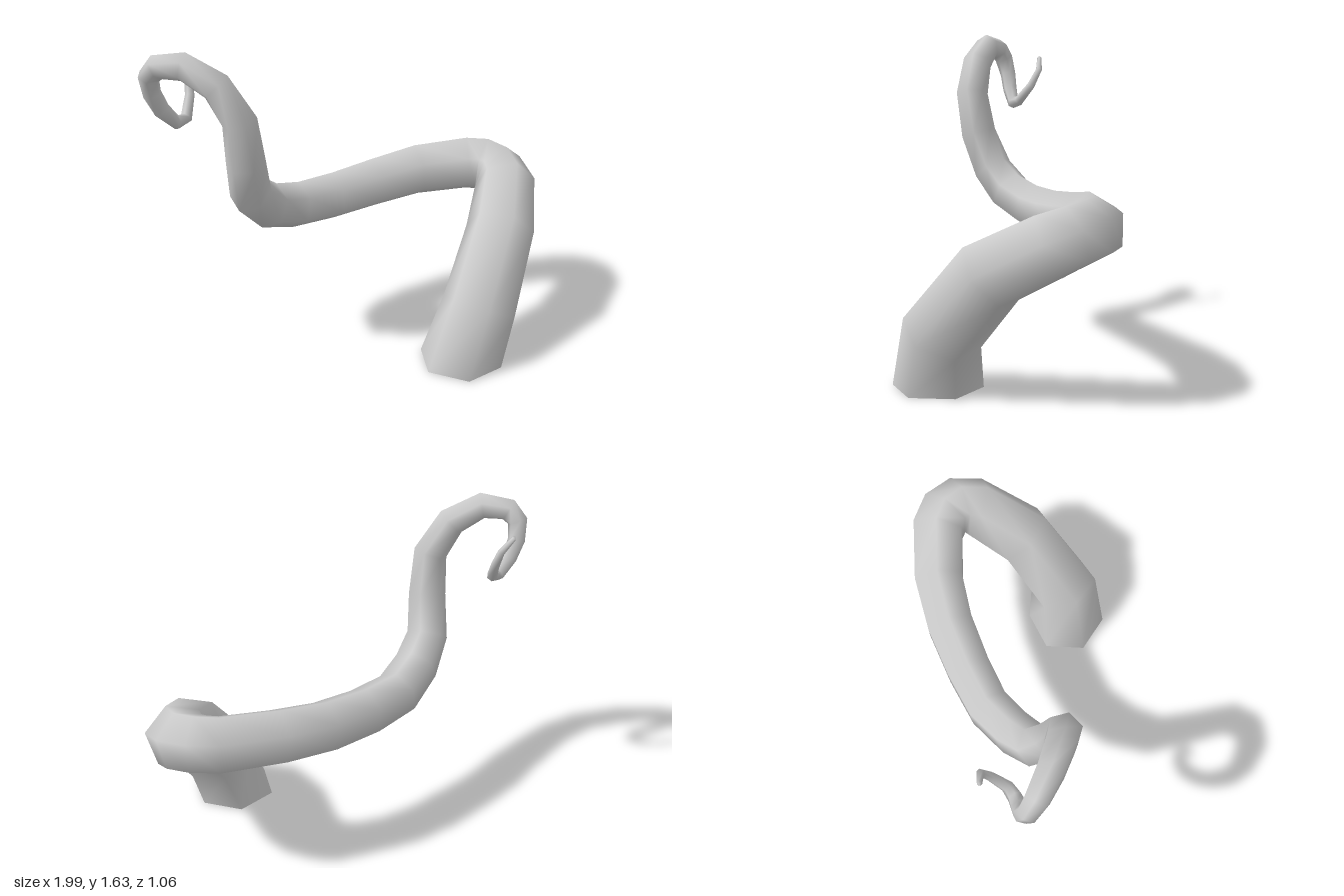
import * as THREE from 'three';

// Centre line from base to tip: x, y, z, radius
const RINGS = [
  [0.52, 0, 0.315, 0.215], [0.61, 0.28, 0.28, 0.19], [0.76, 0.59, 0.04, 0.175],
  [0.84, 0.73, -0.22, 0.16], [0.825, 0.765, -0.315, 0.15], [0.765, 0.78, -0.375, 0.148],
  [0.67, 0.78, -0.405, 0.146], [0.39, 0.765, -0.38, 0.14], [0.15, 0.735, -0.305, 0.133],
  [-0.08, 0.718, -0.195, 0.126], [-0.28, 0.727, -0.08, 0.12], [-0.42, 0.79, 0.055, 0.115],
  [-0.51, 0.905, 0.16, 0.105], [-0.527, 1.1, 0.24, 0.095], [-0.548, 1.315, 0.277, 0.086],
  [-0.645, 1.48, 0.26, 0.078], [-0.79, 1.567, 0.22, 0.069], [-0.91, 1.553, 0.17, 0.059],
  [-0.952, 1.5, 0.14, 0.051], [-0.943, 1.41, 0.115, 0.044], [-0.905, 1.323, 0.1, 0.04],
  [-0.84, 1.25, 0.075, 0.034], [-0.797, 1.263, 0.04, 0.029], [-0.778, 1.35, -0.03, 0.023],
  [-0.785, 1.44, -0.075, 0.018], [-0.845, 1.505, -0.073, 0.012],
];
const SIDES = 6;

// Sweeps a polygon along the rings, carrying its frame without twist
function sweep(rings) {
  const centres = rings.map(([x, y, z]) => new THREE.Vector3(x, y, z));
  const last = rings.length - 1;
  const positions = [], index = [];
  const tangent = new THREE.Vector3(0, 1, 0);
  const u = new THREE.Vector3(0, 0, 1);
  const turn = new THREE.Quaternion();
  centres.forEach((c, i) => {
    if (i > 0) {
      const next = c.clone().sub(centres[i - 1]).normalize();
      if (i < last) next.add(centres[i + 1].clone().sub(c).normalize()).normalize();
      u.applyQuaternion(turn.setFromUnitVectors(tangent, next));
      tangent.copy(next);
    }
    const v = tangent.clone().cross(u);
    for (let j = 0; j < SIDES; j++) {
      const a = (j / SIDES) * Math.PI * 2;
      const p = c.clone()
        .addScaledVector(u, Math.cos(a) * rings[i][3])
        .addScaledVector(v, Math.sin(a) * rings[i][3]);
      positions.push(p.x, p.y, p.z);
      if (i < last) {
        const k = i * SIDES + j, n = i * SIDES + (j + 1) % SIDES;
        index.push(k, n, n + SIDES, k, n + SIDES, k + SIDES);
      }
    }
  });
  // Blunt point that closes the tip
  const end = centres[last].clone().addScaledVector(tangent, 0.012);
  positions.push(end.x, end.y, end.z);
  for (let j = 0; j < SIDES; j++) {
    index.push(last * SIDES + j, last * SIDES + (j + 1) % SIDES, (last + 1) * SIDES);
  }
  const geometry = new THREE.BufferGeometry();
  geometry.setAttribute('position', new THREE.Float32BufferAttribute(positions, 3));
  geometry.setIndex(index);
  geometry.computeVertexNormals();
  return geometry;
}

export function createModel() {
  const group = new THREE.Group();
  group.name = 'tentacle';
  const material = new THREE.MeshStandardMaterial({ color: 0xcccccc });

  // Curling tapered arm
  const arm = new THREE.Mesh(sweep(RINGS), material);
  arm.name = 'arm';
  group.add(arm);

  // Flat underside of the base
  const [x, y, z, r] = RINGS[0];
  const base = new THREE.Mesh(new THREE.CircleGeometry(r, SIDES, Math.PI / 2), material);
  base.name = 'baseCap';
  base.rotation.x = Math.PI / 2;
  base.position.set(x, y, z);
  group.add(base);
  return group;
}
